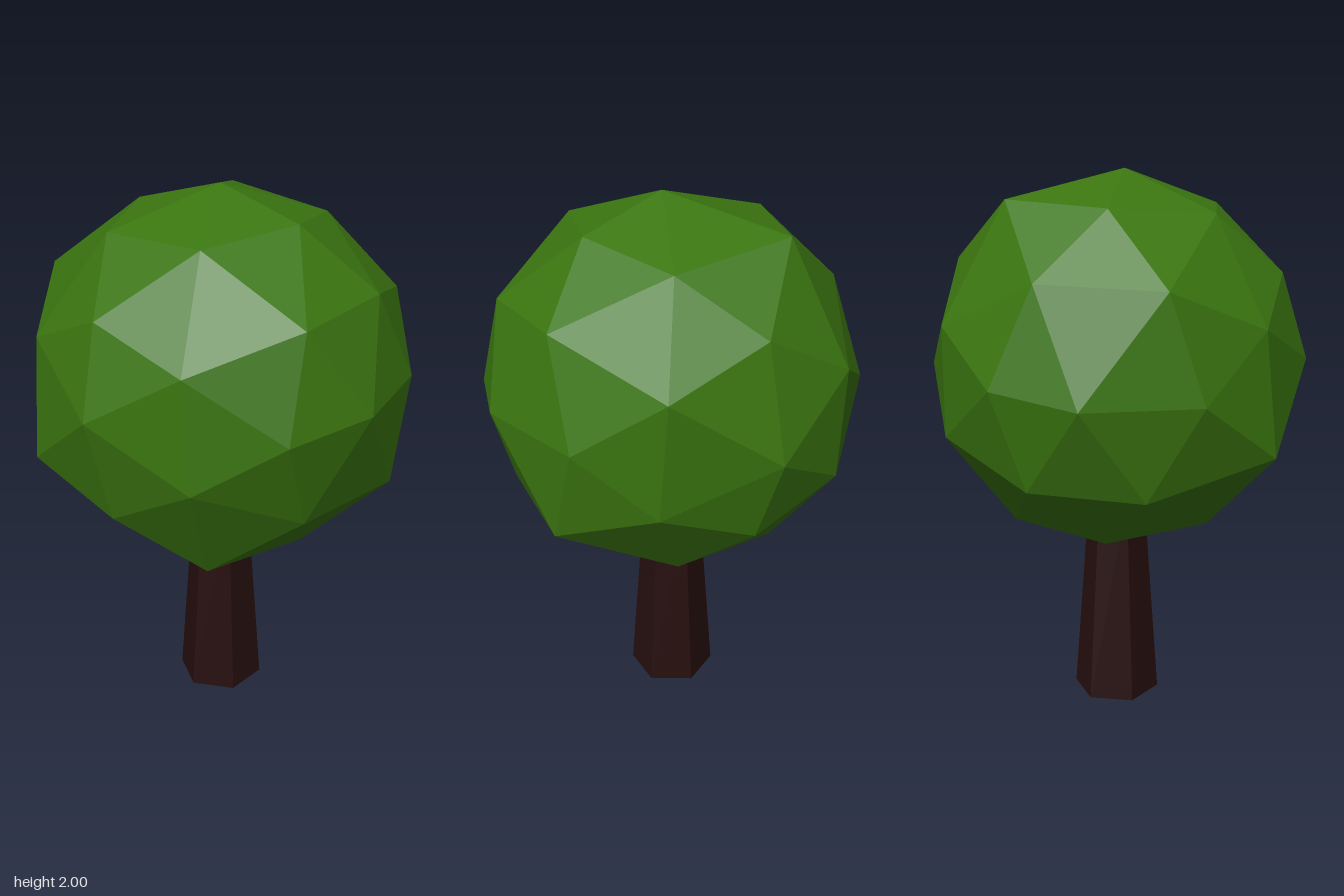
import * as THREE from 'three';
import { ConvexGeometry } from 'three/addons/geometries/ConvexGeometry.js';

const leafGreen = new THREE.MeshStandardMaterial({ name: 'leafGreen', color: 0x3b7610 });
const barkBrown = new THREE.MeshStandardMaterial({ name: 'barkBrown', color: 0x270f0f });

const CROWN_Y = 1.3125;

// Faceted crown: seven corners, each repeated three times around the diagonal and mirrored through the centre
function crownGeometry() {
  const corners = [
    [0.023, 0.688, 0.026],
    [0.335, 0.592, -0.01],
    [-0.37, 0.577, 0.024],
    [0.19, 0.55, -0.354],
    [-0.25, 0.594, -0.345],
    [0.222, 0.558, 0.34],
    [-0.178, 0.549, 0.364],
  ];
  const points = [];
  for (const [a, b, c] of corners) {
    for (const s of [1, -1]) {
      points.push(
        new THREE.Vector3(a, b, c).multiplyScalar(s),
        new THREE.Vector3(b, c, a).multiplyScalar(s),
        new THREE.Vector3(c, a, b).multiplyScalar(s)
      );
    }
  }
  return new ConvexGeometry(points);
}

// Tapered six-sided trunk, flat shaded, running a little way into the crown
function trunkGeometry() {
  const height = 0.8;
  const geometry = new THREE.CylinderGeometry(0.105, 0.163, height, 6).toNonIndexed();
  geometry.translate(0, height / 2, 0);
  geometry.computeVertexNormals();
  return geometry;
}

export function createModel() {
  const tree = new THREE.Group();
  tree.name = 'tree';

  const trunk = new THREE.Mesh(trunkGeometry(), barkBrown);
  trunk.name = 'trunk';

  const crown = new THREE.Mesh(crownGeometry(), leafGreen);
  crown.name = 'crown';
  crown.position.y = CROWN_Y;

  tree.add(trunk, crown);
  return tree;
}
